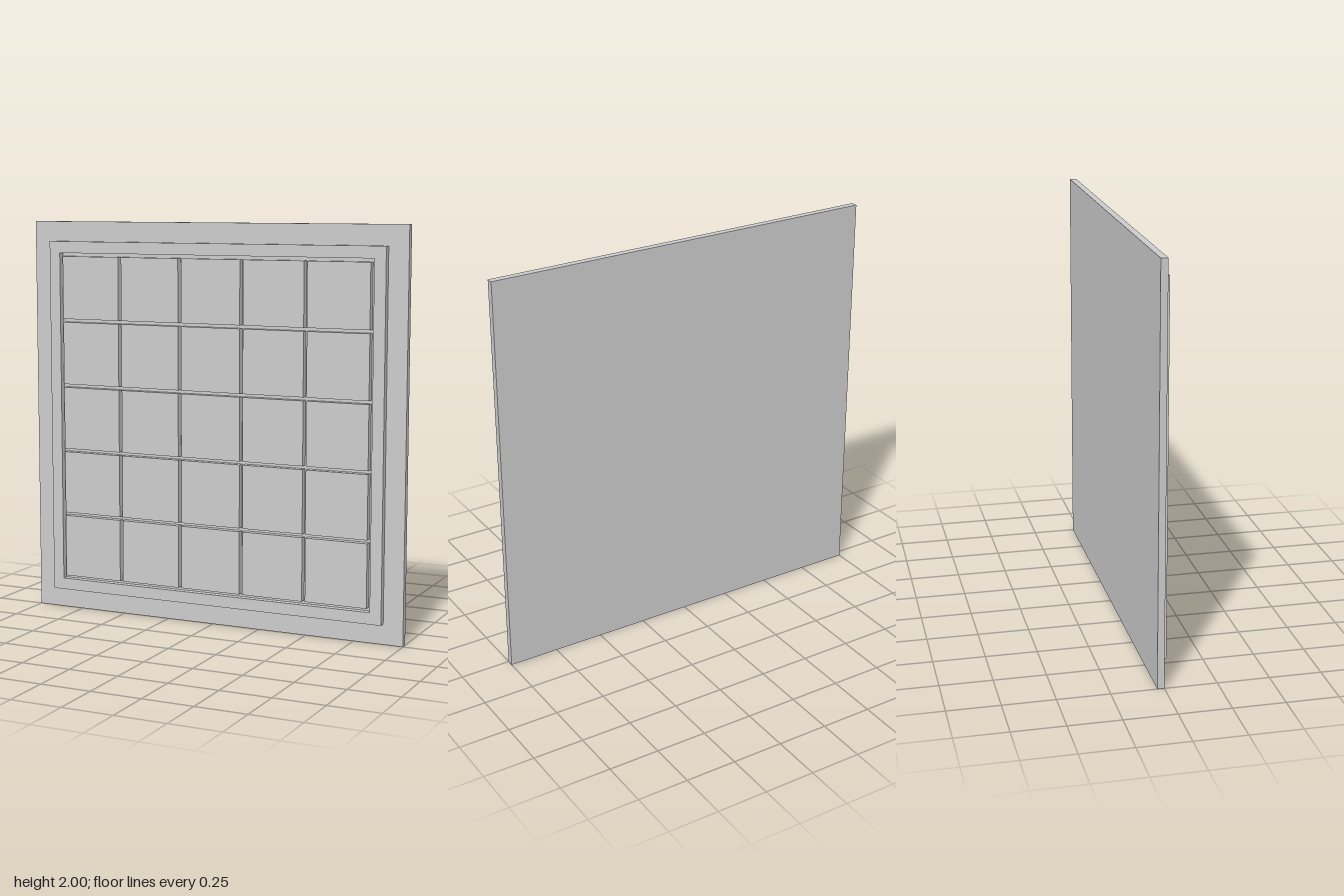
import * as THREE from 'three';

const material = new THREE.MeshStandardMaterial({ color: 0xcccccc, flatShading: true });

const SIZE = 2;          // backing plate side
const T = SIZE / 60;     // thickness of each layer
const PITCH = 1 / 3;     // tile spacing
const TILE = 0.95 * PITCH;
const COUNT = 5;

function square(PathType, half) {
  return new PathType([
    new THREE.Vector2(-half, -half),
    new THREE.Vector2(half, -half),
    new THREE.Vector2(half, half),
    new THREE.Vector2(-half, half),
  ]);
}

function addBox(parent, name, w, h, d, x, y, z) {
  const mesh = new THREE.Mesh(new THREE.BoxGeometry(w, h, d), material);
  mesh.name = name;
  mesh.position.set(x, y, z);
  parent.add(mesh);
}

export function createModel() {
  const model = new THREE.Group();
  model.name = 'tiledPanel';

  // Backing plate
  addBox(model, 'backPlate', SIZE, SIZE, T, 0, SIZE / 2, -T / 2);

  // Raised square frame around the tiles
  const shape = square(THREE.Shape, 0.9);
  shape.holes.push(square(THREE.Path, 0.842));
  const frame = new THREE.Mesh(
    new THREE.ExtrudeGeometry(shape, { depth: T, bevelEnabled: false }), material);
  frame.name = 'frame';
  frame.position.y = SIZE / 2;
  model.add(frame);

  // Grid of tiles separated by narrow grooves
  const tiles = new THREE.Group();
  tiles.name = 'tiles';
  const mid = (COUNT - 1) / 2;
  for (let row = 0; row < COUNT; row++) {
    for (let col = 0; col < COUNT; col++) {
      addBox(tiles, 'tile', TILE, TILE, T,
        (col - mid) * PITCH, SIZE / 2 + (row - mid) * PITCH, T / 2);
    }
  }
  model.add(tiles);

  return model;
}
